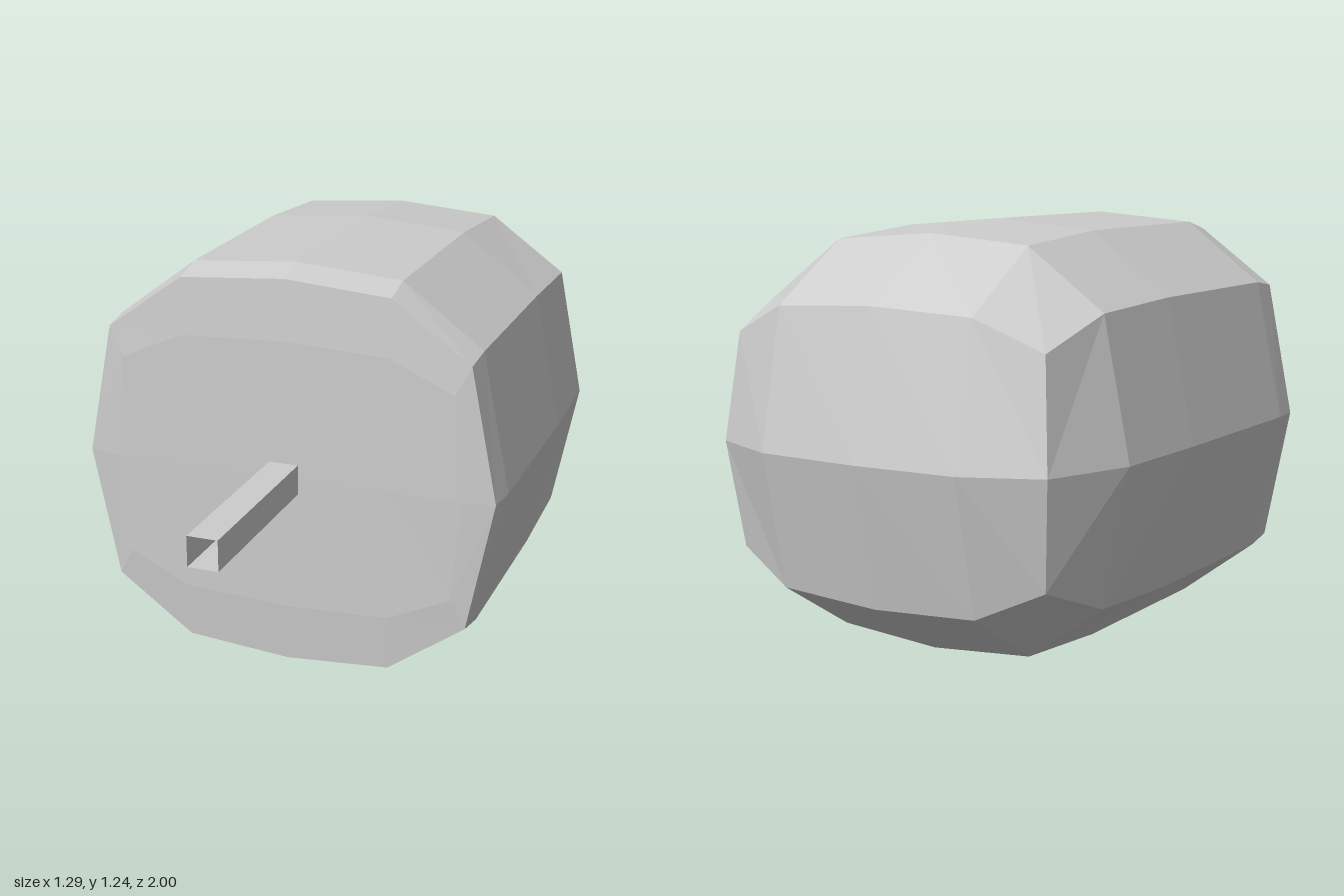
import * as THREE from 'three';

const CY = 0.62; // height of the body's long axis

// Twelve-point cross-section, counter-clockwise seen from the front.
// Each argument is [x, height above axis, z]: side, corner, shoulder, crown.
function ring(side, corner, shoulder, crown) {
  const quarter = [side, corner, shoulder, crown];
  const left = [shoulder, corner, side].map(([x, y, z]) => [-x, y, z]);
  const top = [...quarter, ...left];
  const bottom = [left[1], left[0], crown, shoulder, corner].map(([x, y, z]) => [x, -y, z]);
  return [...top, ...bottom];
}

function bodyGeometry() {
  const wide = (z) => ring([0.645, 0, z], [0.56, 0.415, z], [0.32, 0.595, z], [0, 0.62, z]);
  const narrow = (z) => ring([0.635, 0, z], [0.555, 0.4, z], [0.32, 0.57, z], [0, 0.595, z]);
  const rings = [
    ring([0.54, 0, 0.433], [0.51, 0.313, 0.43], [0.32, 0.4, 0.433], [0, 0.415, 0.433]),
    narrow(0.42),
    wide(0.32),
    wide(-0.28),
    narrow(-0.63),
    ring([0.54, 0, -0.89], [0.51, 0.313, -0.85], [0.32, 0.4, -0.9], [0, 0.415, -0.91]),
  ];
  const pos = [];
  const tri = (...pts) => pts.forEach(([x, y, z]) => pos.push(x, y + CY, z));
  const quad = (a, b, c, d) => { tri(a, b, c); tri(a, c, d); };

  // Skin between neighbouring rings
  for (let r = 0; r < rings.length - 1; r++) {
    for (let i = 0; i < 12; i++) {
      const k = (i + 1) % 12;
      quad(rings[r][i], rings[r + 1][i], rings[r + 1][k], rings[r][k]);
    }
  }
  // End caps: a middle row joined to the upper and lower arcs
  const cap = (p, zShoulder, zCentre, back) => {
    const mid = [p[0], [0.32, 0, zShoulder], [0, 0, zCentre], [-0.32, 0, zShoulder], p[6]];
    const rows = [p.slice(1, 6), mid, p.slice(7).reverse()];
    for (let r = 0; r < 2; r++) {
      for (let j = 0; j < 4; j++) {
        const q = [rows[r + 1][j], rows[r][j], rows[r][j + 1], rows[r + 1][j + 1]];
        quad(...(back ? q.reverse() : q));
      }
    }
  };
  cap(rings[0], 0.435, 0.435, false);
  cap(rings[5], -0.985, -1, true);

  const geo = new THREE.BufferGeometry();
  geo.setAttribute('position', new THREE.Float32BufferAttribute(pos, 3));
  geo.computeVertexNormals();
  return geo;
}

export function createModel() {
  const group = new THREE.Group();
  group.name = 'roundedBlockWithRod';
  const grey = new THREE.MeshStandardMaterial({
    name: 'lightGrey', color: 0xcccccc, flatShading: true, side: THREE.DoubleSide,
  });

  const body = new THREE.Mesh(bodyGeometry(), grey);
  body.name = 'body';

  // Square open-ended tube sticking out of the front
  const rodGeo = new THREE.CylinderGeometry(0.045 * Math.SQRT2, 0.045 * Math.SQRT2, 0.57, 4, 1, true);
  rodGeo.rotateY(Math.PI / 4).rotateX(Math.PI / 2);
  const rod = new THREE.Mesh(rodGeo, grey);
  rod.name = 'rod';
  rod.position.set(0, CY, 0.715);

  group.add(body, rod);
  return group;
}
